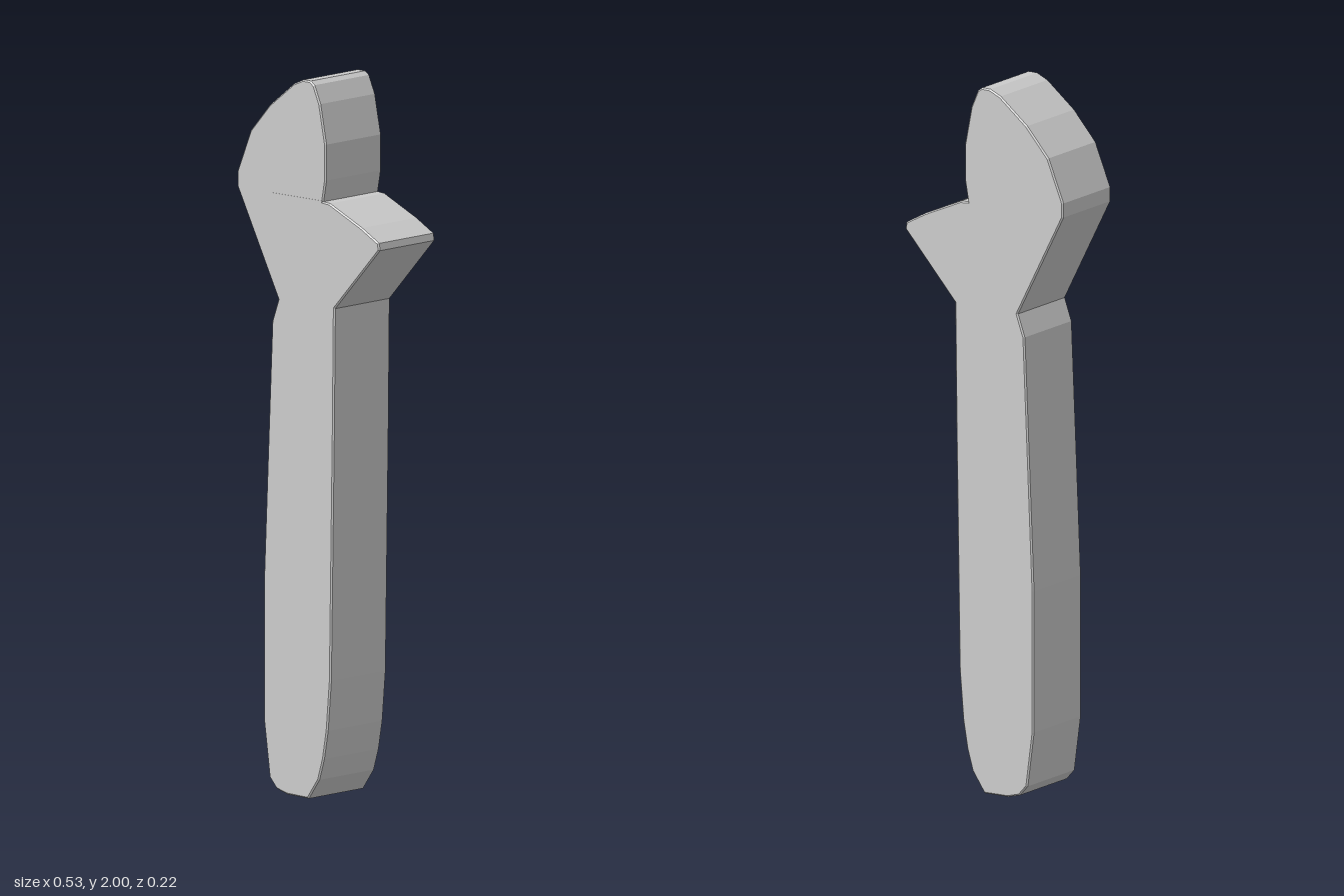
import * as THREE from 'three';

const HALF = 0.112; // half the thickness
const BEVEL = 0.004;

export function createModel() {
  const group = new THREE.Group();
  group.name = 'adjustableWrench';
  const material = new THREE.MeshStandardMaterial({ color: 0xcccccc, flatShading: true });

  // Outline sections, counterclockwise from the foot of the handle
  const handleRight = [
    [-0.12, 0.016], [-0.08, 0.005], [0, 0.003], [0.04, 0.06], [0.058, 0.12],
    [0.072, 0.2], [0.084, 0.34], [0.095, 1.03], [0.099, 1.378],
  ];
  const lowerJaw = [[0.267, 1.56], [0.264, 1.58], [0.2, 1.615], [0.08, 1.668], [0.055, 1.67]];
  const upperJaw = [
    [0.066, 1.73], [0.066, 1.83], [0.044, 1.94], [0.022, 1.99], [0.008, 2],
    [-0.02, 2], [-0.055, 1.985], [-0.145, 1.915], [-0.217, 1.835], [-0.267, 1.715], [-0.267, 1.675],
  ];
  const handleLeft = [
    [-0.113, 1.378], [-0.136, 1.315], [-0.152, 0.95], [-0.167, 0.6], [-0.167, 0.2], [-0.146, 0.045],
  ];
  const outline = [...handleRight, ...lowerJaw, ...upperJaw, ...handleLeft]
    .map(([x, y]) => new THREE.Vector2(x, y));

  // Handle and both jaws, one plate with finely bevelled rims
  const body = new THREE.ExtrudeGeometry(new THREE.Shape(outline), {
    depth: 2 * (HALF - BEVEL),
    bevelEnabled: true,
    bevelThickness: BEVEL,
    bevelSize: BEVEL,
    bevelOffset: -BEVEL,
    bevelSegments: 1,
  });
  body.translate(0, 0, -(HALF - BEVEL));
  const bodyMesh = new THREE.Mesh(body, material);
  bodyMesh.name = 'handleAndJaws';
  group.add(bodyMesh);

  // Fine seam on the front where the movable jaw meets the head
  const seam = new THREE.Mesh(new THREE.BoxGeometry(0.193, 0.003, 0.002), material);
  seam.name = 'jawSeam';
  seam.position.set(-0.043, 1.671, HALF);
  group.add(seam);

  return group;
}
